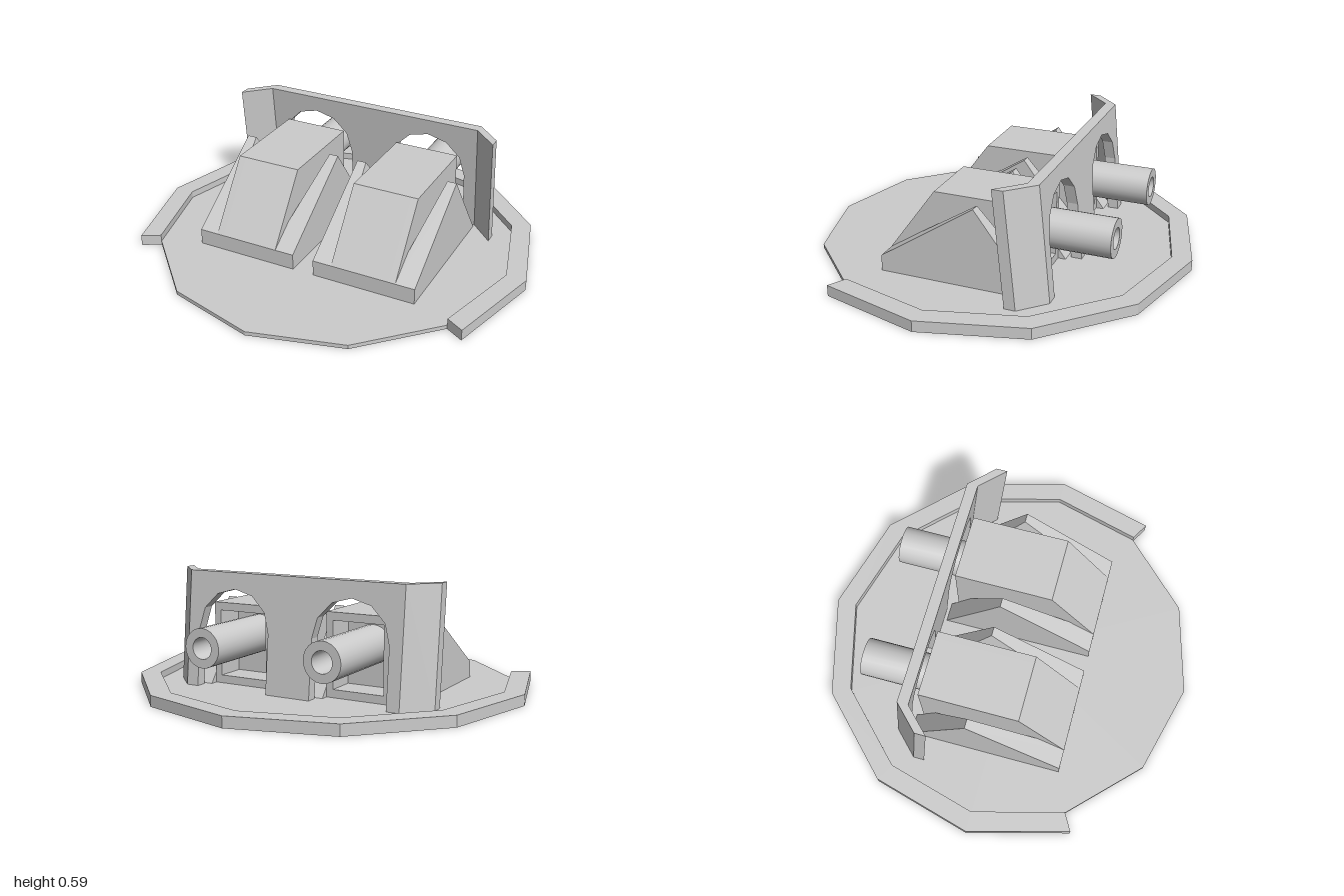
import * as THREE from 'three';
import { toCreasedNormals } from 'three/addons/utils/BufferGeometryUtils.js';
import { ConvexGeometry } from 'three/addons/geometries/ConvexGeometry.js';

const flat = new THREE.MeshStandardMaterial({ color: 0xcccccc, flatShading: true, side: THREE.DoubleSide });
const smooth = new THREE.MeshStandardMaterial({ color: 0xcccccc, side: THREE.DoubleSide });
const RAD = Math.PI / 180;

function add(parent, name, geometry, material = flat) {
  const mesh = new THREE.Mesh(geometry, material);
  mesh.name = name;
  parent.add(mesh);
  return mesh;
}

const toShape = (pts) => new THREE.Shape(pts.map(([x, y]) => new THREE.Vector2(x, y)));
const extrude = (shape, depth) => new THREE.ExtrudeGeometry(shape, { depth, bevelEnabled: false });

// Extrudes a [z, y] profile along x from x0 to x1
function profileX(pts, x0, x1) {
  return extrude(toShape(pts.map(([z, y]) => [-z, y])), x1 - x0)
    .rotateY(Math.PI / 2).translate(x0, 0, 0);
}

// Twelve-sided plate, open underneath, with a raised rim round the back
function makeBase() {
  const base = new THREE.Group();
  base.name = 'base';
  base.position.z = 0.05;
  add(base, 'plateTop', new THREE.CircleGeometry(0.9, 12, -Math.PI / 2).rotateX(-Math.PI / 2).translate(0, 0.02, 0));
  add(base, 'plateEdge', new THREE.CylinderGeometry(0.9, 0.9, 0.02, 12, 1, true).translate(0, 0.01, 0));

  const start = 60 * RAD, sweep = 240 * RAD, h = 0.055;
  for (const [name, r] of [['rimOuterWall', 1], ['rimInnerWall', 0.9]])
    add(base, name, new THREE.CylinderGeometry(r, r, h, 8, 1, true, start, sweep).translate(0, h / 2, 0));
  add(base, 'rimTop', new THREE.RingGeometry(0.9, 1, 8, 1, start - Math.PI / 2, sweep)
    .rotateX(-Math.PI / 2).translate(0, h, 0));
  for (const s of [-1, 1]) {
    const end = add(base, 'rimEnd', new THREE.PlaneGeometry(0.1, h).translate(0.95, h / 2, 0));
    end.rotation.y = s > 0 ? -30 * RAD : 210 * RAD;
  }
  return base;
}

// Leaning back wall with two archways and angled wings
function makeWall() {
  const wall = new THREE.Group();
  wall.name = 'backWall';
  const y0 = 0.02, y1 = 0.59, half = 0.585, thick = 0.055;

  // Slants a panel: leans it back downward, and turns a wing forward
  const slant = (geometry, turn) => {
    const p = geometry.attributes.position;
    for (let i = 0; i < p.count; i++) {
      const x = Math.abs(p.getX(i));
      p.setZ(i, p.getZ(i) - 0.375 + (p.getY(i) - y1) * 0.1 + (turn ? x - half : 0));
    }
    geometry.computeVertexNormals();
    return geometry;
  };

  const outline = [[half, y0], [half, y1], [-half, y1], [-half, y0]];
  for (const cx of [-0.32, 0.32]) {
    outline.push([cx - 0.2, y0]);
    for (let i = 6; i >= 0; i--)
      outline.push([cx + 0.2 * Math.cos(i * 30 * RAD), 0.31 + 0.2 * Math.sin(i * 30 * RAD)]);
    outline.push([cx + 0.2, y0]);
  }
  add(wall, 'archedPanel', slant(extrude(toShape(outline), thick), false));

  for (const s of [-1, 1]) {
    const a = s * half, b = s * 0.705;
    add(wall, 'wing', slant(extrude(toShape([[a, y0], [b, y0], [b, y1], [a, y1]]), thick), true));
  }
  return wall;
}

// Sloped housing with side buttresses and a rear pipe, centred on its own x
function makeHousing() {
  const unit = new THREE.Group();
  unit.name = 'housing';
  const w = 0.167, cheek = 0.035, back = -0.32;
  const front = [[0.42, 0.02], [0.42, 0.1], [0.18, 0.43], [back, 0.43]];
  const solid = [...front, [back, 0.02]];
  const recessed = [...front, [back, 0.39], [-0.17, 0.39], [-0.17, 0.06], [back, 0.06], [back, 0.02]];
  add(unit, 'housingCore', profileX(recessed, -w + cheek, w - cheek));
  add(unit, 'housingCheek', profileX(solid, -w, -w + cheek));
  add(unit, 'housingCheek', profileX(solid, w - cheek, w));

  // Buttresses, with an inner face leaning away from the housing
  const o = 0.265;
  const corners = [
    [o, 0.02, 0.42], [o, 0.1, 0.42], [o, 0.42, -0.06], [o, 0.02, -0.36],
    [0.218, 0.42, -0.06], [w, 0.193, 0.28], [w, 0.167, -0.25],
    [w, 0.1, 0.42], [w, 0.02, 0.42], [w, 0.02, -0.36],
  ];
  for (const s of [-1, 1])
    add(unit, 'buttress', new ConvexGeometry(corners.map(([x, y, z]) => new THREE.Vector3(s * x, y, z))));

  // Pipe with a bored end
  const profile = [[0.095, 0.16], [0.095, 0.655], [0.052, 0.655], [0.052, 0.45], [0, 0.45]]
    .map(([r, y]) => new THREE.Vector2(r, y));
  const pipe = toCreasedNormals(new THREE.LatheGeometry(profile, 24), 40 * RAD);
  add(unit, 'pipe', pipe.rotateX(-Math.PI / 2).translate(0, 0.265, 0), smooth);
  return unit;
}

export function createModel() {
  const model = new THREE.Group();
  model.name = 'model';
  model.add(makeBase(), makeWall());
  for (const x of [-0.32, 0.32]) {
    const housing = makeHousing();
    housing.position.x = x;
    model.add(housing);
  }
  return model;
}
